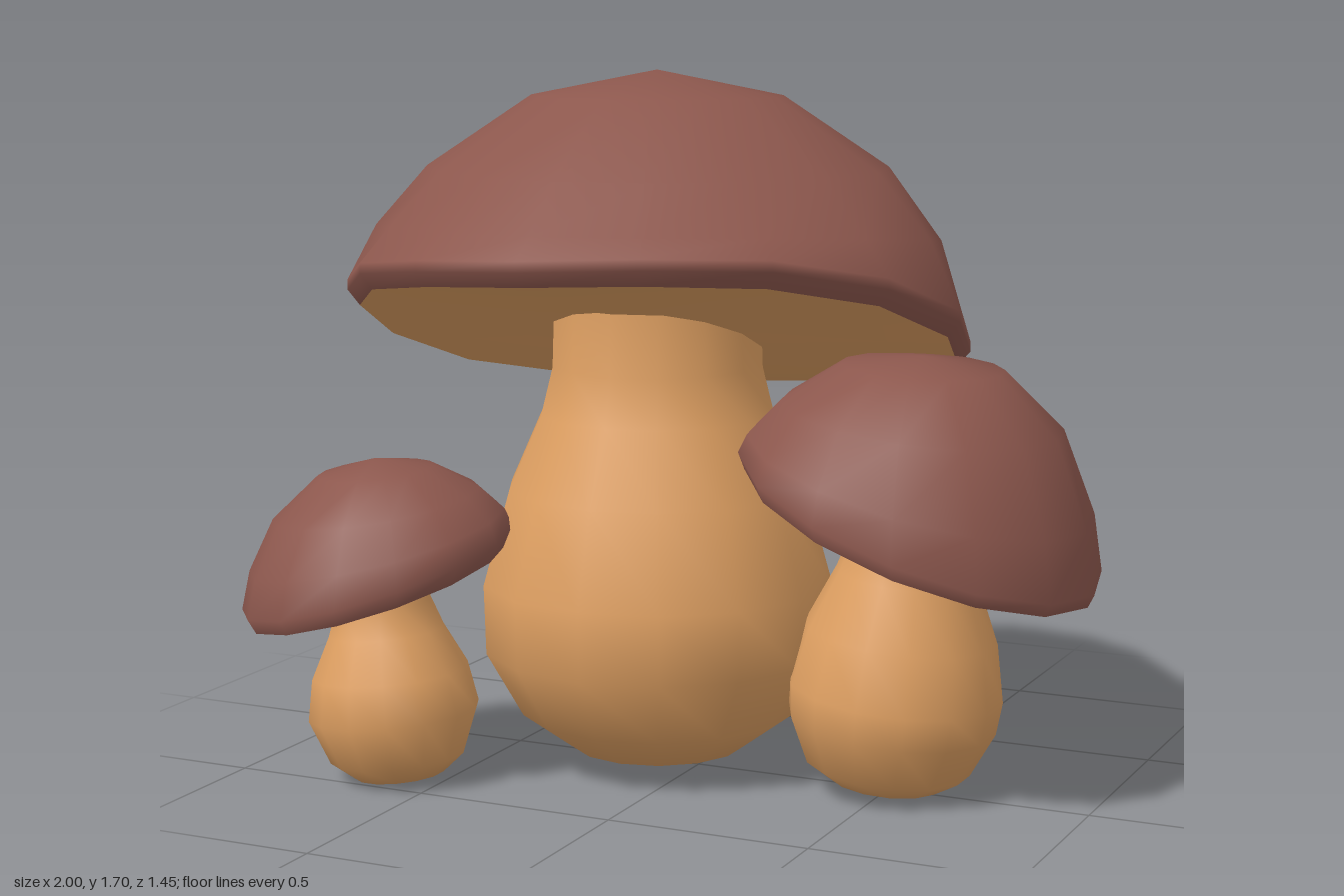
import * as THREE from 'three';
import { mergeVertices } from 'three/addons/utils/BufferGeometryUtils.js';

const capBrown = new THREE.MeshStandardMaterial({ color: 0x8c574d });
const stemTan = new THREE.MeshStandardMaterial({ color: 0xdfa062 });

// Joins closed rings [radius, y, tilt weight] from top to bottom.
function loft(rings, segs, outline, tilt) {
  const pos = [], index = [];
  rings.forEach(([r, y, w], i) => {
    for (let j = 0; j < segs; j++) {
      const [ux, uz] = outline((j / segs) * Math.PI * 2);
      const x = r * ux, z = r * uz;
      pos.push(x, y + w * tilt(x, z), z);
      if (i === 0) continue;
      const k = (j + 1) % segs, a = (i - 1) * segs, b = i * segs;
      index.push(a + j, b + k, b + j, a + j, a + k, b + k);
    }
  });
  const g = new THREE.BufferGeometry();
  g.setAttribute('position', new THREE.Float32BufferAttribute(pos, 3));
  g.setIndex(index);
  const merged = mergeVertices(g);
  merged.computeVertexNormals();
  return merged;
}

function mushroom({ name, cap, segs, capAt, outline, tilt, stem, stemAt, lean }) {
  const group = new THREE.Group();
  group.name = name;

  // Domed cap with a rolled rim
  const dome = new THREE.Mesh(loft(cap, segs, outline, tilt), capBrown);
  dome.name = 'cap';

  // Gently bulging underside, closing the cap from its lower rim
  const [r, y] = cap[cap.length - 1];
  const gills = [[r, y, 1], [r * 0.8, y - 0.012, 1], [r * 0.4, y - 0.012, 1], [0, y - 0.01, 1]];
  const under = new THREE.Mesh(loft(gills, segs, outline, tilt), stemTan);
  under.name = 'capUnderside';
  for (const m of [dome, under]) {
    m.position.set(capAt[0], 0, capAt[1]);
    group.add(m);
  }

  // Bulbous stem
  const points = stem.map(([sr, sy]) => new THREE.Vector2(sr, sy));
  const stalk = new THREE.Mesh(new THREE.LatheGeometry(points, 14), stemTan);
  stalk.name = 'stem';
  stalk.position.set(stemAt[0], 0, stemAt[1]);
  stalk.rotation.z = lean;
  group.add(stalk);
  return group;
}

export function createModel() {
  const model = new THREE.Group();
  model.name = 'mushroomCluster';

  // Tall middle mushroom, its cap tipped backwards
  model.add(mushroom({
    name: 'largeMushroom',
    segs: 16,
    capAt: [-0.11, 0],
    outline: a => [0.94 * Math.cos(a) + 0.06 * Math.cos(a) ** 5, 0.935 * Math.sin(a)],
    tilt: (x, z) => 0.19 * Math.sin((z / 0.74) * Math.PI / 2) + 0.05 * x,
    cap: [[0, 1.71, 0], [0.31, 1.65, 0], [0.57, 1.48, 0], [0.70, 1.32, 0.25],
      [0.775, 1.13, 1], [0.775, 1.105, 1], [0.745, 1.07, 1]],
    stem: [[0, 0.05], [0.215, 0.05], [0.34, 0.14], [0.43, 0.3], [0.435, 0.47],
      [0.37, 0.7], [0.29, 0.88], [0.26, 1.0], [0.255, 1.15]],
    stemAt: [-0.11, 0],
    lean: 0,
  }));

  // Middle-sized mushroom on the +x side, its cap tipped outwards
  model.add(mushroom({
    name: 'mediumMushroom',
    segs: 14,
    capAt: [0.575, 0],
    outline: a => [Math.cos(a), 1.075 * Math.sin(a)],
    tilt: x => -0.38 * x,
    cap: [[0, 1.06, 0], [0.19, 1.035, 0.15], [0.33, 0.92, 0.32], [0.405, 0.78, 0.7],
      [0.425, 0.69, 1], [0.41, 0.655, 1]],
    stem: [[0, 0.03], [0.14, 0.03], [0.2, 0.07], [0.25, 0.18], [0.258, 0.26],
      [0.23, 0.4], [0.17, 0.54], [0.14, 0.64], [0.135, 0.74]],
    stemAt: [0.49, 0],
    lean: -0.1,
  }));

  // Small mushroom in front on the -x side
  model.add(mushroom({
    name: 'smallMushroom',
    segs: 14,
    capAt: [-0.67, 0.4],
    outline: a => [Math.cos(a), 0.98 * Math.sin(a)],
    tilt: (x, z) => 0.26 * x - 0.17 * z,
    cap: [[0, 0.79, 0], [0.14, 0.76, 0.3], [0.25, 0.68, 0.5], [0.31, 0.59, 0.8],
      [0.33, 0.52, 1], [0.31, 0.48, 1]],
    stem: [[0, 0.015], [0.11, 0.015], [0.165, 0.06], [0.208, 0.17], [0.19, 0.27],
      [0.14, 0.37], [0.115, 0.44], [0.11, 0.53]],
    stemAt: [-0.615, 0.4],
    lean: 0.09,
  }));

  return model;
}
